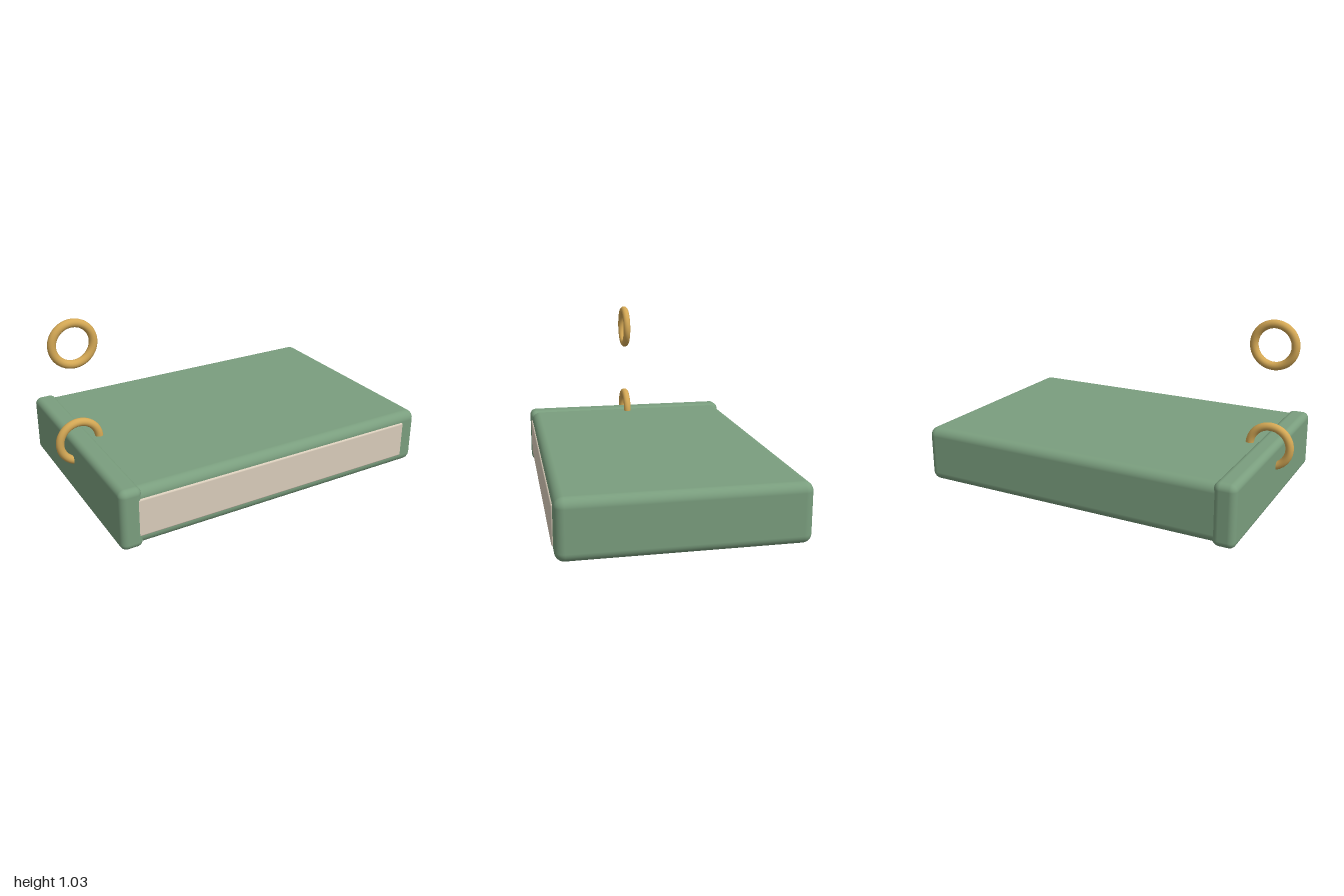
import * as THREE from 'three';
import { RoundedBoxGeometry } from 'three/addons/geometries/RoundedBoxGeometry.js';

const green = new THREE.MeshStandardMaterial({ color: 0x7a9e7e });
const paper = new THREE.MeshStandardMaterial({ color: 0xd9ccba });
const brass = new THREE.MeshStandardMaterial({ color: 0xd4a855 });

// Rounded box given by its minimum and maximum corners
function roundedBox(name, min, max, radius, material) {
  const size = max.map((v, i) => v - min[i]);
  const mesh = new THREE.Mesh(new RoundedBoxGeometry(...size, 5, radius), material);
  mesh.position.set(...max.map((v, i) => (v + min[i]) / 2));
  mesh.name = name;
  return mesh;
}

export function createModel() {
  const model = new THREE.Group();
  model.name = 'ringBook';

  // Cover block, raised spine and the page edge along the front
  model.add(
    roundedBox('cover', [-0.89, 0.01, -0.645], [1, 0.333, 0.645], 0.05, green),
    roundedBox('spine', [-0.91, 0, -0.655], [-0.785, 0.343, 0.655], 0.037, green),
    roundedBox('pages', [-0.82, 0.065, 0.4], [0.9, 0.28, 0.653], 0.01, paper),
  );

  // Two rings: one through the spine, one hanging above it
  [['spineRing', 0.325], ['upperRing', 0.896]].forEach(([name, y]) => {
    const ring = new THREE.Mesh(new THREE.TorusGeometry(0.114, 0.023, 16, 48), brass);
    ring.position.set(-0.863, y, 0);
    ring.name = name;
    model.add(ring);
  });

  return model;
}
